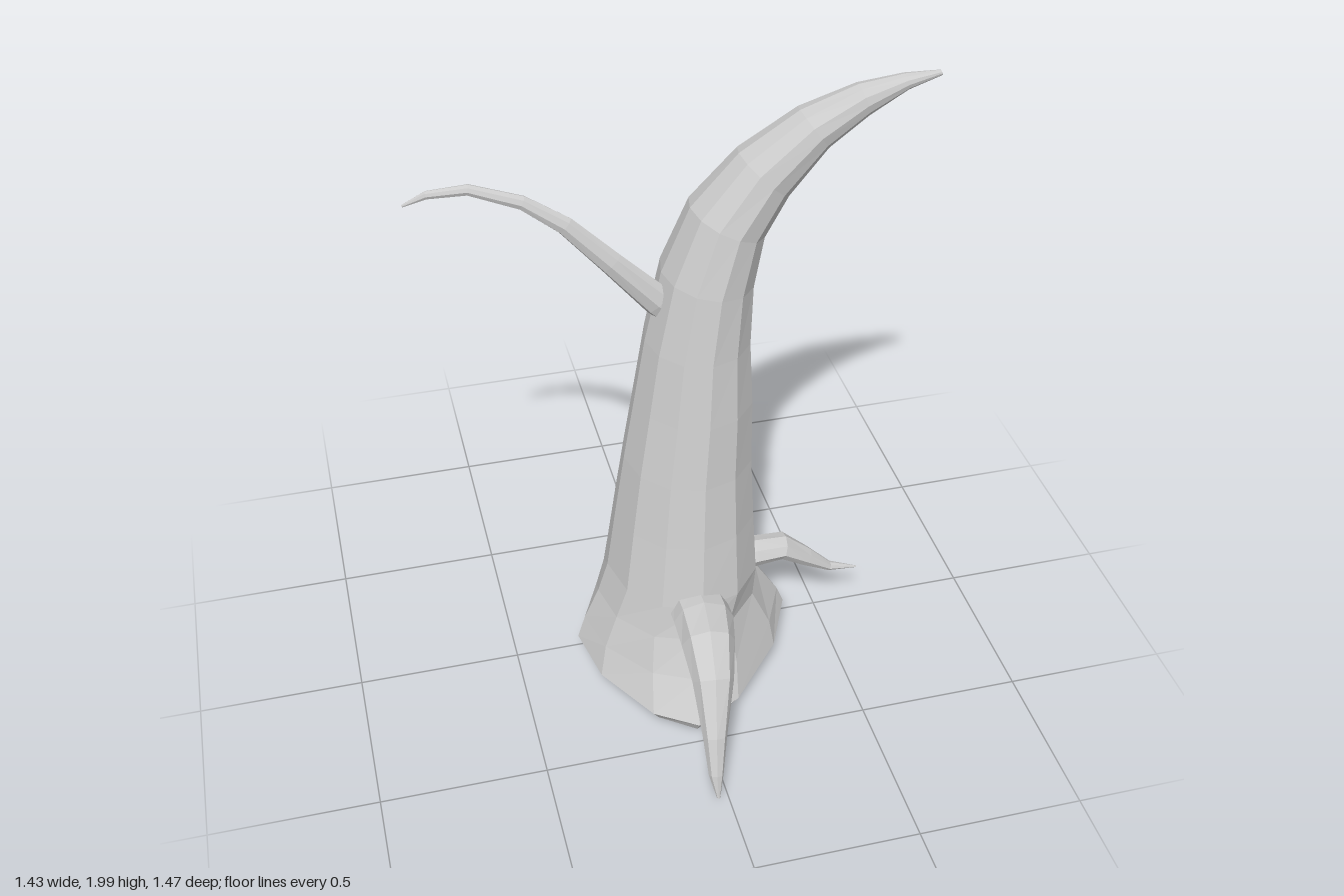
import * as THREE from 'three';

const V = (x, y, z) => new THREE.Vector3(x, y, z);
const material = new THREE.MeshStandardMaterial({ color: 0xcccccc, flatShading: true, side: THREE.DoubleSide });

// Skin a list of rings (each running counter-clockwise about the direction of travel) and close both ends.
function loft(name, rings) {
  const n = rings[0].length, pos = [], idx = [];
  for (const ring of rings) for (const p of ring) pos.push(p.x, p.y, p.z);
  for (let i = 0; i < rings.length - 1; i++) {
    for (let j = 0; j < n; j++) {
      const k = (j + 1) % n, a = i * n + j, b = i * n + k;
      idx.push(a, b, b + n, a, b + n, a + n);
    }
  }
  const last = (rings.length - 1) * n;
  for (const [start, flip] of [[0, true], [last, false]]) {
    const ring = rings[start / n];
    const c = ring.reduce((s, p) => s.add(p), V(0, 0, 0)).divideScalar(n);
    const ci = pos.length / 3;
    pos.push(c.x, c.y, c.z);
    for (let j = 0; j < n; j++) {
      const a = start + j, b = start + (j + 1) % n;
      if (flip) idx.push(ci, b, a); else idx.push(ci, a, b);
    }
  }
  const g = new THREE.BufferGeometry();
  g.setAttribute('position', new THREE.Float32BufferAttribute(pos, 3));
  g.setIndex(idx);
  g.computeVertexNormals();
  const mesh = new THREE.Mesh(g, material);
  mesh.name = name;
  return mesh;
}

// Body ring: spans left point (ax, ay) to right point (bx, by) and z0 to z1.
// power < 2 gives a diamond, sag drops the front and back, skew shifts them sideways.
function bodyRing([ax, ay, bx, by, z0, z1, power = 2, sag = 0, skew = 0]) {
  const ring = [], sides = 12;
  const curve = t => Math.sign(t) * Math.pow(Math.abs(t), 2 / power);
  for (let j = 0; j < sides; j++) {
    const t = j / sides * Math.PI * 2;
    const c = curve(Math.cos(t)), s = curve(Math.sin(t));
    ring.push(V(
      (ax + bx) / 2 + c * (bx - ax) / 2 + skew * s,
      (ay + by) / 2 + c * (by - ay) / 2 + sag * Math.abs(s),
      (z0 + z1) / 2 - s * (z1 - z0) / 2));
  }
  return ring;
}

// Tapering tentacle: stations are [x, y, z, half width, half height].
function tentacle(name, stations) {
  const pts = stations.map(s => V(s[0], s[1], s[2]));
  const dir = pts[pts.length - 1].clone().sub(pts[0]);
  const side = V(0, 1, 0).cross(dir).normalize();
  const sides = 8;
  return loft(name, pts.map((p, i) => {
    const tangent = pts[Math.min(i + 1, pts.length - 1)].clone().sub(pts[Math.max(i - 1, 0)]).normalize();
    const up = tangent.clone().cross(side).normalize();
    const [, , , w, h] = stations[i];
    return Array.from({ length: sides }, (_, j) => {
      const t = j / sides * Math.PI * 2;
      return p.clone().addScaledVector(side, w * Math.cos(t)).addScaledVector(up, h * Math.sin(t));
    });
  }));
}

export function createModel() {
  const group = new THREE.Group();
  group.name = 'hornedTentacle';

  // Curved horn on a flared diamond foot
  group.add(loft('hornBody', [
    [-0.26, 0.065, 0.32, 0.075, -0.34, 0.45, 1.5, -0.06, 0.05],
    [-0.31, 0.11, 0.37, 0.11, -0.35, 0.475, 1.5, -0.06, 0.05],
    [-0.285, 0.18, 0.35, 0.16, -0.29, 0.40, 1.6, 0, 0.04],
    [-0.24, 0.29, 0.27, 0.29, -0.23, 0.35, 1.8, 0, 0.02],
    [-0.21, 0.40, 0.26, 0.40, -0.20, 0.335],
    [-0.18, 0.60, 0.25, 0.60, -0.18, 0.30],
    [-0.15, 0.80, 0.24, 0.80, -0.155, 0.27],
    [-0.115, 1.00, 0.24, 1.00, -0.145, 0.245],
    [-0.08, 1.20, 0.23, 1.20, -0.135, 0.22],
    [-0.03, 1.42, 0.235, 1.38, -0.125, 0.20],
    [0.05, 1.62, 0.26, 1.53, -0.09, 0.18],
    [0.18, 1.78, 0.32, 1.65, -0.04, 0.165],
    [0.34, 1.90, 0.42, 1.79, 0.01, 0.16],
    [0.49, 1.97, 0.52, 1.88, 0.065, 0.157],
    [0.61, 1.995, 0.62, 1.95, 0.105, 0.155],
    [0.705, 2.0, 0.71, 1.985, 0.135, 0.15],
  ].map(bodyRing)));

  // Thick front tentacle
  group.add(tentacle('frontTentacle', [
    [0.02, 0.375, 0.26, 0.09, 0.065],
    [0.02, 0.38, 0.36, 0.09, 0.07],
    [0.01, 0.37, 0.45, 0.08, 0.078],
    [0, 0.31, 0.545, 0.062, 0.06],
    [-0.02, 0.18, 0.645, 0.036, 0.04],
    [-0.03, 0.08, 0.70, 0.022, 0.022],
    [-0.03, 0.012, 0.73, 0.005, 0.006],
  ]));

  // Back tentacle
  group.add(tentacle('backTentacle', [
    [0.05, 0.25, -0.18, 0.065, 0.05],
    [0.065, 0.27, -0.28, 0.065, 0.052],
    [0.105, 0.29, -0.42, 0.048, 0.05],
    [0.135, 0.255, -0.51, 0.036, 0.045],
    [0.165, 0.155, -0.62, 0.02, 0.027],
    [0.19, 0.05, -0.73, 0.004, 0.005],
  ]));

  // Small left-side tentacle
  group.add(tentacle('leftTentacle', [
    [0.18, 0.30, 0.03, 0.055, 0.042],
    [0.28, 0.315, 0.03, 0.055, 0.043],
    [0.37, 0.317, 0.03, 0.052, 0.038],
    [0.45, 0.26, 0.035, 0.034, 0.03],
    [0.53, 0.205, 0.04, 0.018, 0.014],
    [0.62, 0.19, 0.05, 0.003, 0.003],
  ]));

  // Long slender upper tentacle on the right side
  group.add(tentacle('upperTentacle', [
    [0.02, 1.28, 0.055, 0.03, 0.05],
    [-0.04, 1.335, 0.055, 0.03, 0.048],
    [-0.17, 1.47, 0.035, 0.026, 0.036],
    [-0.29, 1.59, 0.005, 0.022, 0.028],
    [-0.40, 1.66, -0.025, 0.019, 0.021],
    [-0.54, 1.70, -0.06, 0.016, 0.016],
    [-0.65, 1.685, -0.085, 0.012, 0.012],
    [-0.715, 1.652, -0.10, 0.004, 0.004],
  ]));

  return group;
}
